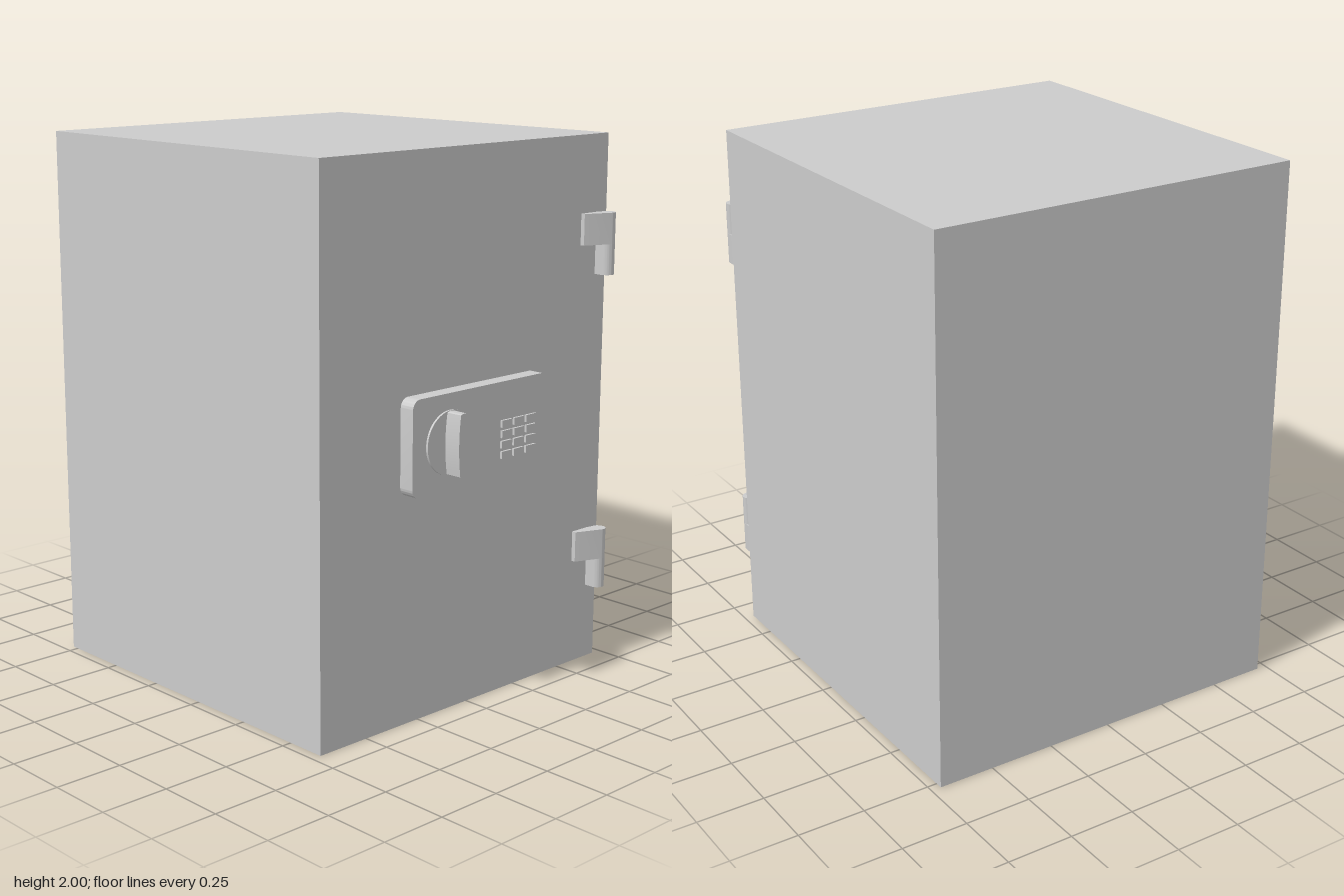
import * as THREE from 'three';
import { toCreasedNormals } from 'three/addons/utils/BufferGeometryUtils.js';

const FRONT = 0.65; // z of the door face
const PLATE = 0.708; // z of the lock panel face

export function createModel() {
  const safe = new THREE.Group();
  safe.name = 'safe';
  const material = new THREE.MeshStandardMaterial({ color: 0xcccccc });

  const add = (parent, name, geometry, x = 0, y = 0, z = 0) => {
    const mesh = new THREE.Mesh(geometry, material);
    mesh.name = name;
    mesh.position.set(x, y, z);
    parent.add(mesh);
    return mesh;
  };
  const extrude = (shape, depth) =>
    new THREE.ExtrudeGeometry(shape, { depth, bevelEnabled: false, curveSegments: 12 });

  // Cabinet
  add(safe, 'cabinet', new THREE.BoxGeometry(1.426, 2, 1.427), 0, 1, -0.0635);

  // Lock panel with rounded corners
  const lock = new THREE.Group();
  lock.name = 'lock';
  safe.add(lock);
  const w = 0.342, h = 0.172, r = 0.035;
  const plate = new THREE.Shape();
  plate.absarc(w - r, h - r, r, 0, Math.PI / 2);
  plate.absarc(-w + r, h - r, r, Math.PI / 2, Math.PI);
  plate.absarc(-w + r, -h + r, r, Math.PI, Math.PI * 1.5);
  plate.absarc(w - r, -h + r, r, Math.PI * 1.5, Math.PI * 2);
  add(lock, 'lockPanel', toCreasedNormals(extrude(plate, PLATE - FRONT), 0.6), -0.002, 1.003, FRONT);

  // Round dial with a grip bulging at the middle and narrowing to the front
  const dial = new THREE.CylinderGeometry(0.114, 0.114, 0.008, 48).rotateX(Math.PI / 2);
  add(lock, 'dial', dial, -0.166, 1.003, PLATE + 0.004);
  const grip = new THREE.Shape();
  grip.moveTo(-0.02, -0.108);
  grip.quadraticCurveTo(0, -0.117, 0.02, -0.108);
  grip.quadraticCurveTo(0.038, 0, 0.02, 0.108);
  grip.quadraticCurveTo(0, 0.117, -0.02, 0.108);
  grip.quadraticCurveTo(-0.038, 0, -0.02, -0.108);
  const gripDepth = 0.777 - PLATE;
  const gripGeometry = extrude(grip, gripDepth);
  const p = gripGeometry.attributes.position;
  for (let i = 0; i < p.count; i++) p.setX(i, p.getX(i) * (1 - 0.15 * p.getZ(i) / gripDepth));
  add(lock, 'dialGrip', toCreasedNormals(gripGeometry, 0.6), -0.166, 1.003, PLATE);

  // Keypad, four rows of three
  const key = new THREE.BoxGeometry(0.052, 0.026, 0.009);
  for (let row = 0; row < 4; row++) {
    for (let col = 0; col < 3; col++) {
      add(lock, 'key', key, 0.119 + col * 0.0635, 1.024 - row * 0.0375, PLATE + 0.0045);
    }
  }

  // Hinges: a sloping leaf above a round-fronted knuckle, outlined in x and z
  const px = 0.685, pz = 0.682, pr = 0.028;
  const leaf = new THREE.Shape();
  leaf.moveTo(0.572, FRONT - 0.005);
  leaf.lineTo(0.66, FRONT - 0.005);
  leaf.lineTo(0.66, FRONT + 0.002);
  leaf.lineTo(px + pr * Math.cos(-1.1), pz + pr * Math.sin(-1.1));
  leaf.absarc(px, pz, pr, -1.1, 1.98);
  leaf.lineTo(0.572, FRONT + 0.016);
  const knuckle = new THREE.Shape();
  knuckle.moveTo(px - pr, FRONT - 0.005);
  knuckle.lineTo(px + pr, FRONT - 0.005);
  knuckle.absarc(px, pz, pr, 0, Math.PI);
  const upright = (shape, height) => toCreasedNormals(extrude(shape, height).rotateX(Math.PI / 2), 0.6);
  const leafGeometry = upright(leaf, 0.115);
  const knuckleGeometry = upright(knuckle, 0.114);
  for (const top of [1.716, 0.518]) {
    const hinge = new THREE.Group();
    hinge.name = 'hinge';
    hinge.position.y = top;
    safe.add(hinge);
    add(hinge, 'hingeLeaf', leafGeometry);
    add(hinge, 'hingeKnuckle', knuckleGeometry, 0, -0.115, 0);
  }
  return safe;
}
